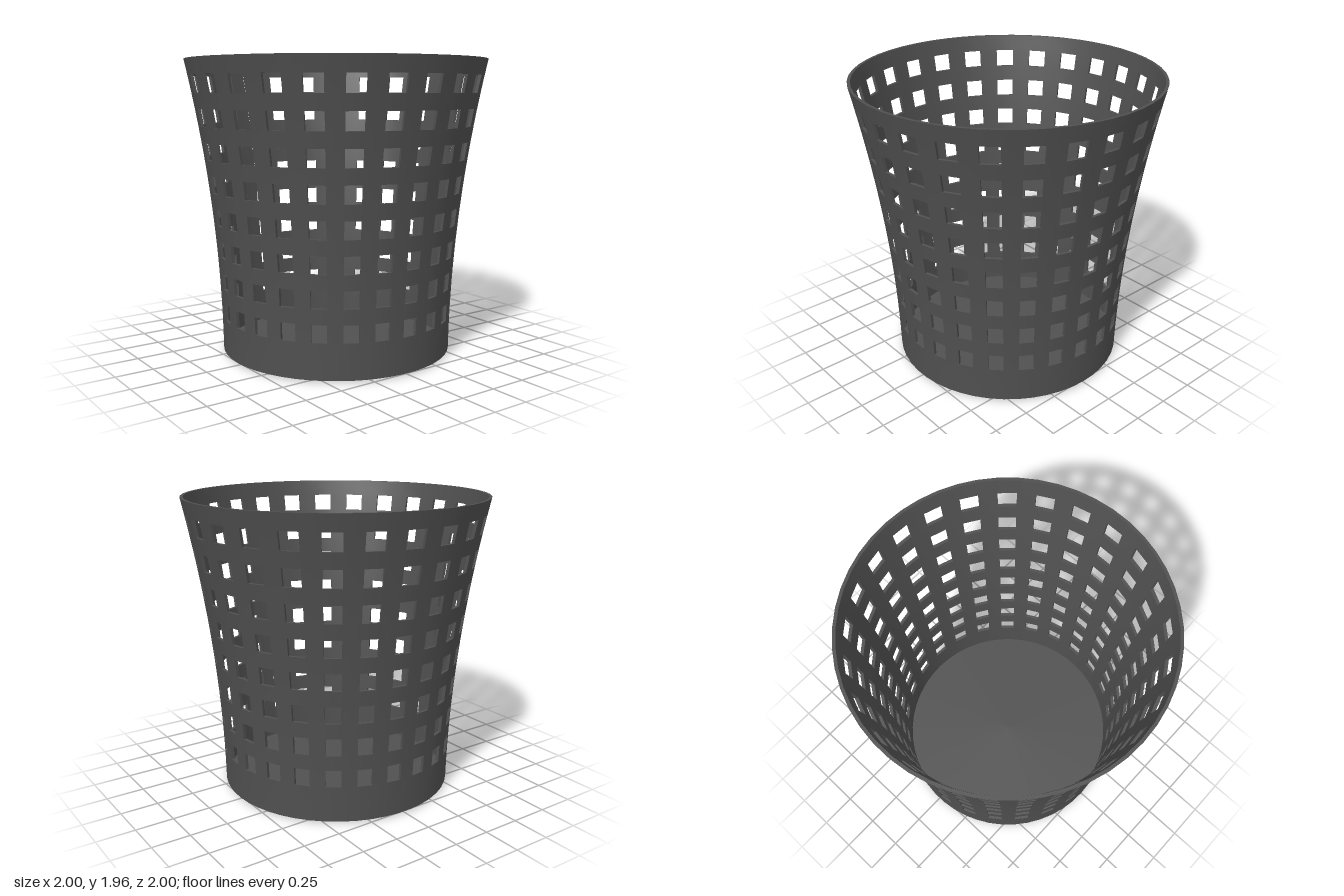
import * as THREE from 'three';

const COLUMNS = 25, SEGMENTS = COLUMNS * 2, STEP = (Math.PI * 2) / SEGMENTS;
const ROWS = 8, BOTTOM = 0.012, TOP = 1.955, WALL = 0.02;

// Heights of the wall's horizontal edges: plain foot, hole rows, rim
const levels = [BOTTOM, 0.13];
for (let i = 0; i < ROWS; i++) {
  const y = 0.248 + i * 0.2128;
  levels.push(y, y + 0.113);
}
levels.push(TOP);

// Flared outer profile
function radiusAt(y) {
  const t = (y - BOTTOM) / (TOP - BOTTOM);
  return 0.775 + 0.02 * t + 0.205 * t * t;
}

function wallPoint(column, level, inset) {
  const y = levels[level], r = radiusAt(y) - inset, a = (column - 0.5) * STEP;
  return [r * Math.sin(a), y, r * Math.cos(a)];
}

const isHole = (column, band) =>
  column % 2 === 0 && band % 2 === 0 && band >= 2 && band <= ROWS * 2;

function indexedGeometry(positions, indices) {
  const g = new THREE.BufferGeometry();
  g.setAttribute('position', new THREE.Float32BufferAttribute(positions, 3));
  g.setIndex(indices);
  g.computeVertexNormals();
  return g;
}

// One smooth skin of the wall, leaving the holes open
function wallSkin(inset, inward) {
  const positions = [], indices = [];
  for (let m = 0; m < levels.length; m++)
    for (let j = 0; j < SEGMENTS; j++) positions.push(...wallPoint(j, m, inset));
  for (let m = 0; m < levels.length - 1; m++)
    for (let j = 0; j < SEGMENTS; j++) {
      if (isHole(j, m)) continue;
      const k = (j + 1) % SEGMENTS;
      const a = m * SEGMENTS + j, b = m * SEGMENTS + k, c = b + SEGMENTS, d = a + SEGMENTS;
      if (inward) indices.push(a, c, b, a, d, c);
      else indices.push(a, b, c, a, c, d);
    }
  return indexedGeometry(positions, indices);
}

// Flat strips joining outer and inner skin along the given edges
function edgeStrips(edges) {
  const positions = [], indices = [];
  for (const [p, q] of edges) {
    const n = positions.length / 3;
    positions.push(...wallPoint(...p, 0), ...wallPoint(...q, 0),
      ...wallPoint(...q, WALL), ...wallPoint(...p, WALL));
    indices.push(n, n + 1, n + 2, n, n + 2, n + 3);
  }
  return indexedGeometry(positions, indices);
}

export function createModel() {
  const group = new THREE.Group();
  group.name = 'wasteBasket';
  const material = new THREE.MeshStandardMaterial({ color: 0x505050 });
  const add = (name, geometry) => {
    const mesh = new THREE.Mesh(geometry, material);
    mesh.name = name;
    group.add(mesh);
  };

  // Perforated wall
  add('outerWall', wallSkin(0, false));
  add('innerWall', wallSkin(WALL, true));

  // Sides of the square holes, and the top rim
  const holeEdges = [], rimEdges = [];
  for (let j = 0; j < SEGMENTS; j++) {
    rimEdges.push([[j, levels.length - 1], [j + 1, levels.length - 1]]);
    for (let m = 0; m < levels.length - 1; m++) {
      if (!isHole(j, m)) continue;
      const corners = [[j, m], [j + 1, m], [j + 1, m + 1], [j, m + 1]];
      corners.forEach((p, i) => holeEdges.push([p, corners[(i + 1) % 4]]));
    }
  }
  add('holeSides', edgeStrips(holeEdges));
  add('rim', edgeStrips(rimEdges));

  // Slightly domed underside and flat inner floor
  const disc = (points) => new THREE.LatheGeometry(
    points.map(([r, y]) => new THREE.Vector2(r, y)), SEGMENTS, STEP / 2);
  add('underside', disc([[0, 0], [radiusAt(BOTTOM), BOTTOM]]));
  add('floor', disc([[radiusAt(0.03) - WALL / 2, 0.03], [0, 0.03]]));

  return group;
}
